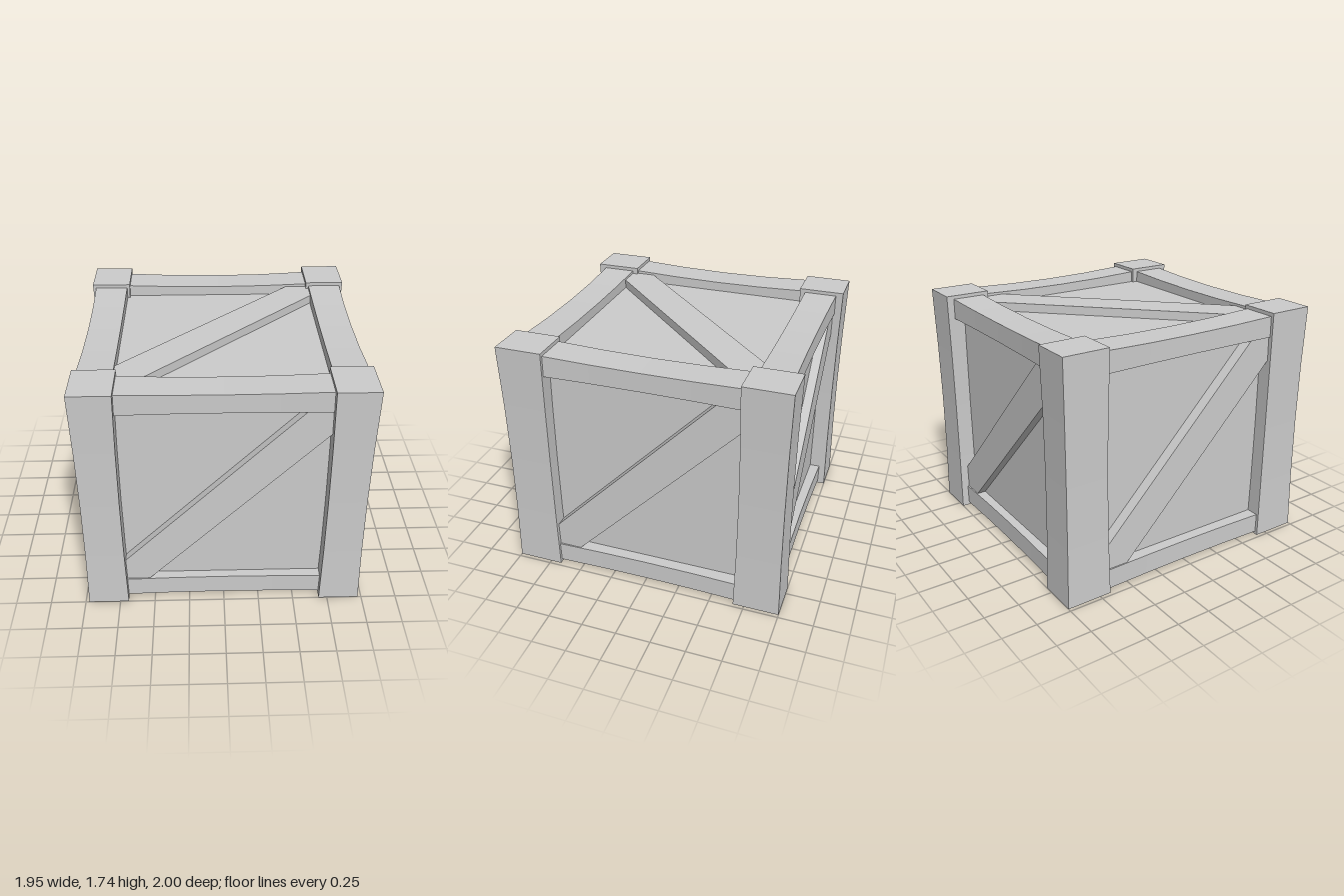
import * as THREE from 'three';

const grey = new THREE.MeshStandardMaterial({ color: 0xcccccc, flatShading: true });

function add(parent, name, geometry) {
  const mesh = new THREE.Mesh(geometry, grey);
  mesh.name = name;
  parent.add(mesh);
  return mesh;
}

// Move every vertex of a geometry by a rule
function bend(geometry, rule) {
  const p = geometry.attributes.position;
  const v = new THREE.Vector3();
  for (let i = 0; i < p.count; i++) {
    rule(v.fromBufferAttribute(p, i));
    p.setXYZ(i, v.x, v.y, v.z);
  }
  geometry.computeVertexNormals();
  return geometry;
}

// Corner post, slightly slimmer at mid height
function postGeometry() {
  const w = 0.285, h = 1.74, d = 0.33;
  return bend(new THREE.BoxGeometry(w, h, d, 1, 4, 1), (v) => {
    const slim = 0.011 * (1 - (v.y / (h / 2)) ** 2);
    v.x -= Math.sign(v.x) * slim;
    v.z -= Math.sign(v.z) * slim;
  });
}

// Rail along x, outer face at +z; the outer (and optionally top) face sags inwards
function railGeometry(length, height, depth, topSag) {
  return bend(new THREE.BoxGeometry(length, height, depth, 4, 1, 1), (v) => {
    const sag = 1 - (v.x / (length / 2)) ** 2;
    if (v.z > 0) v.z -= 0.012 * sag;
    if (v.y > 0) v.y -= topSag * sag;
  });
}

// Diagonal board filling a framed opening from lower left to upper right
function braceGeometry(halfW, halfH, cut, thickness) {
  const shape = new THREE.Shape([
    [-halfW, -halfH], [-halfW + cut, -halfH], [halfW, halfH - cut],
    [halfW, halfH], [halfW - cut, halfH], [-halfW, -halfH + cut],
  ].map(([x, y]) => new THREE.Vector2(x, y)));
  return new THREE.ExtrudeGeometry(shape, { depth: thickness, bevelEnabled: false });
}

export function createModel() {
  const crate = new THREE.Group();
  crate.name = 'crate';

  // Recessed panels, as one inner box
  add(crate, 'panels', new THREE.BoxGeometry(1.72, 1.52, 1.74)).position.y = 0.87;

  // Corner posts
  for (const sx of [-1, 1]) for (const sz of [-1, 1]) {
    add(crate, 'cornerPost', postGeometry()).position.set(sx * 0.832, 0.87, sz * 0.835);
  }

  // Four walls: rails at top and bottom plus a diagonal brace
  const walls = [
    { name: 'front', turn: 0, length: 1.42, inner: 0.71, outer: 0.947, half: 0.7 },
    { name: 'left', turn: Math.PI / 2, length: 1.38, inner: 0.71, outer: 0.952, half: 0.68 },
    { name: 'back', turn: Math.PI, length: 1.42, inner: 0.71, outer: 0.947, half: 0.7 },
    { name: 'right', turn: -Math.PI / 2, length: 1.38, inner: 0.71, outer: 0.952, half: 0.68 },
  ];
  for (const { name, turn, length, inner, outer, half } of walls) {
    const wall = new THREE.Group();
    wall.name = name + 'Wall';
    wall.rotation.y = turn;
    const z = (inner + outer) / 2, depth = outer - inner;
    add(wall, 'topRail', railGeometry(length, 0.15, depth, 0.016)).position.set(0, 1.64, z);
    add(wall, 'bottomRail', railGeometry(length, 0.145, depth, 0)).position.set(0, 0.0925, z);
    add(wall, 'brace', braceGeometry(half, 0.7, 0.17, 0.09)).position.set(0, 0.865, outer - 0.102);
    crate.add(wall);
  }

  // Diagonal braces on the lid and the base
  const lid = add(crate, 'lidBrace', braceGeometry(0.71, 0.71, 0.175, 0.08));
  lid.rotation.x = -Math.PI / 2;
  lid.position.y = 1.613;
  const base = add(crate, 'baseBrace', braceGeometry(0.71, 0.71, 0.175, 0.08));
  base.rotation.x = Math.PI / 2;
  base.position.y = 0.12;

  return crate;
}
